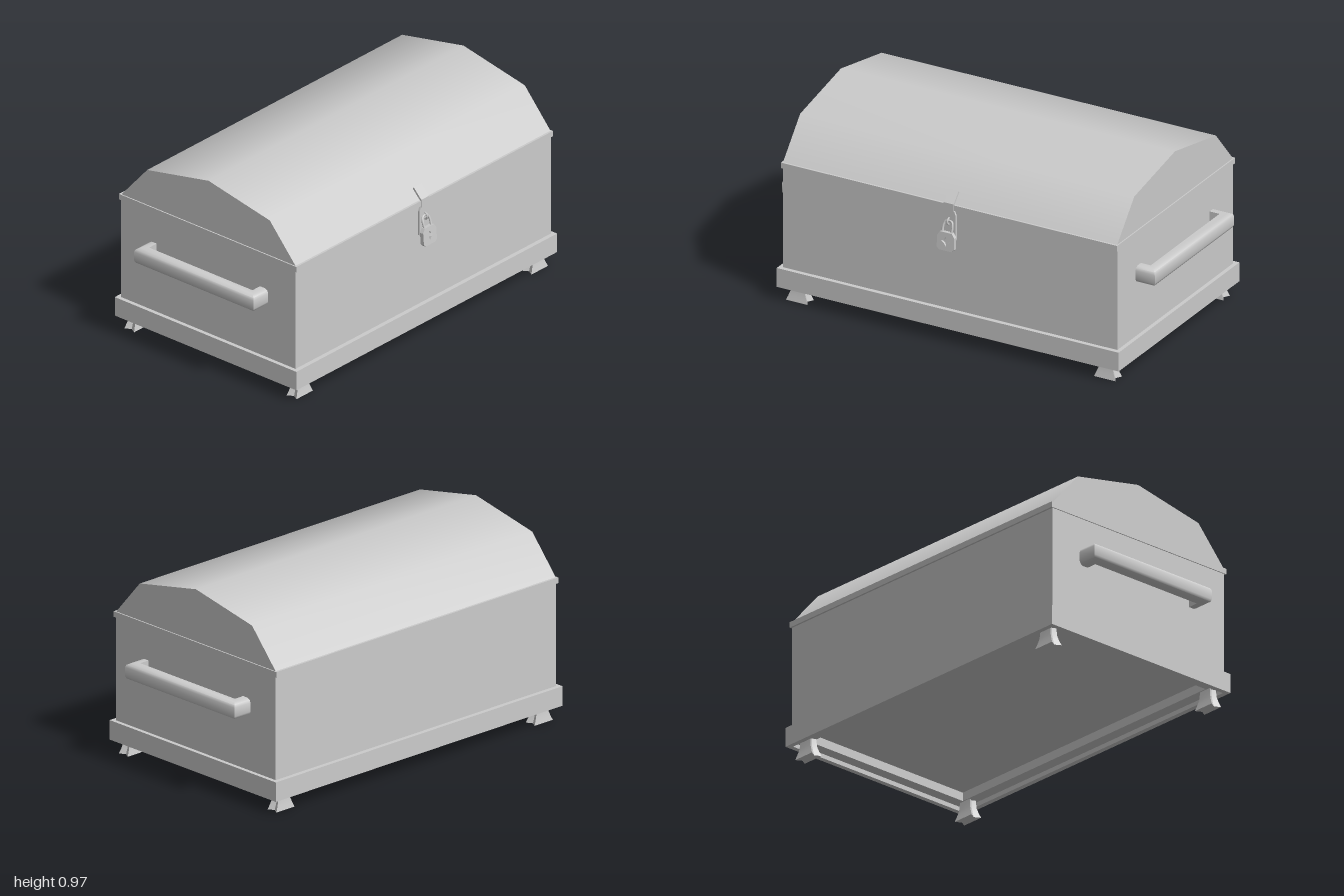
import * as THREE from 'three';
import { toCreasedNormals } from 'three/addons/utils/BufferGeometryUtils.js';

const ZC = -0.012; // middle of the chest body in z

export function createModel() {
  const chest = new THREE.Group();
  chest.name = 'chest';
  const material = new THREE.MeshStandardMaterial({ color: 0xcccccc });

  function add(name, geometry, x = 0, y = 0, z = 0, parent = chest) {
    const mesh = new THREE.Mesh(geometry, material);
    mesh.name = name;
    mesh.position.set(x, y, z);
    parent.add(mesh);
    return mesh;
  }

  // Closed loft through rings of equal point count, capped at both ends
  function loft(rings, crease) {
    const n = rings[0].length;
    const index = [];
    for (let r = 0; r < rings.length - 1; r++) {
      for (let i = 0; i < n; i++) {
        const a = r * n + i, b = r * n + (i + 1) % n;
        index.push(a, b, b + n, a, b + n, a + n);
      }
    }
    const last = (rings.length - 1) * n;
    for (let i = 1; i < n - 1; i++) {
      index.push(0, i + 1, i, last, last + i, last + i + 1);
    }
    const g = new THREE.BufferGeometry();
    g.setAttribute('position', new THREE.Float32BufferAttribute(rings.flat(2), 3));
    g.setIndex(index);
    return toCreasedNormals(g, crease);
  }

  const outlineOf = (points, Type = THREE.Shape) => new Type(points.map(p => new THREE.Vector2(...p)));
  const extrude = (shape, depth) => new THREE.ExtrudeGeometry(shape, { depth, bevelEnabled: false });

  // Upright rectangular frame with a hole
  function frame(hx, hz, wall, height) {
    const rect = (x, z) => [[-x, -z], [x, -z], [x, z], [-x, z]];
    const shape = outlineOf(rect(hx, hz));
    shape.holes.push(outlineOf(rect(hx - wall, hz - wall), THREE.Path));
    return extrude(shape, height).rotateX(-Math.PI / 2);
  }

  // Body, plinth and stepped underside
  add('body', new THREE.BoxGeometry(1.794, 0.55, 1.08), 0, 0.41, ZC);
  add('plinth', frame(0.917, 0.5625, 0.025, 0.097), 0, 0.07, ZC);
  add('bottomRim', frame(0.9, 0.545, 0.065, 0.06), 0, 0.092, ZC);

  // Flared feet, waisted in height and hollowed at both ends
  const footRing = (y, hx, hz) => [[0.7 * hx, y, 0], [hx, y, -hz], [-hx, y, -hz],
    [-0.7 * hx, y, 0], [-hx, y, hz], [hx, y, hz]];
  const foot = loft([
    footRing(0, 0.058, 0.03), footRing(0.025, 0.047, 0.025),
    footRing(0.05, 0.038, 0.021), footRing(0.1, 0.033, 0.018),
  ], 0.8);
  for (const x of [-0.826, 0.826]) {
    for (const z of [0.492, -0.514]) add('foot', foot, x, 0, z);
  }

  // Lid: lip and faceted vault, with close end rings to keep the soft shading even
  add('lidLip', new THREE.BoxGeometry(1.804, 0.028, 1.1), 0, 0.694, ZC);
  const vault = [[0.546, 0.7], [0.38, 0.891], [0, 0.967], [-0.38, 0.891], [-0.546, 0.7]];
  add('lid', loft([-0.896, -0.892, 0.892, 0.896].map(x => vault.map(([z, y]) => [x, y, -z])), 0.8), 0, 0, ZC);

  // Side handles: rounded section swept round a square U
  const section = [[-0.05, 0.042], [-0.02, 0.042], [-0.005, 0.034], [0, 0.022],
    [0, -0.022], [-0.005, -0.034], [-0.02, -0.042], [-0.05, -0.042]];
  const path = [
    o => [0.88, 0.37 + o], o => [1 + o, 0.37 + o],
    o => [1 + o, -0.37 - o], o => [0.88, -0.37 - o],
  ];
  const handle = loft(path.map(at => section.map(([o, y]) => {
    const [x, z] = at(o);
    return [x, y, z];
  })), 1.05);
  add('leftHandle', handle, 0, 0.483, ZC);
  add('rightHandle', handle, 0, 0.483, ZC).rotation.y = Math.PI;

  // Hasp: strap on the lid slope, tab over the lip, hanging plate
  const lock = new THREE.Group();
  lock.name = 'lock';
  chest.add(lock);
  add('haspStrap', new THREE.BoxGeometry(0.052, 0.07, 0.01), 0, 0.734, 0.514, lock).rotation.x = -0.76;
  add('haspTab', new THREE.BoxGeometry(0.052, 0.04, 0.01), 0, 0.695, 0.537, lock);
  const plate = outlineOf([[-0.026, 0.68], [-0.036, 0.655], [-0.036, 0.53], [0.036, 0.53],
    [0.036, 0.655], [0.026, 0.68]]);
  add('haspPlate', extrude(plate, 0.012), 0, 0, 0.526, lock);
  const staple = add('staple', new THREE.TorusGeometry(0.016, 0.005, 6, 16), 0, 0.622, 0.538, lock);
  staple.rotation.y = Math.PI / 2;

  // Padlock, hanging slightly tilted
  const padlock = new THREE.Group();
  padlock.name = 'padlock';
  padlock.position.set(0, 0.528, 0.561);
  padlock.rotation.x = -0.08;
  lock.add(padlock);
  const front = outlineOf([[-0.034, -0.045], [0.034, -0.045], [0.046, -0.033], [0.046, 0.025],
    [0.032, 0.046], [-0.032, 0.046], [-0.046, 0.025], [-0.046, -0.033]]);
  const keyhole = [];
  for (let i = 0; i < 8; i++) {
    const a = i * Math.PI / 4, r = i % 2 ? 0.012 : 0.023;
    keyhole.push([r * Math.cos(a), r * Math.sin(a)]);
  }
  front.holes.push(outlineOf(keyhole, THREE.Path));
  add('padlockBody', extrude(front, 0.02), 0, 0, -0.01, padlock);
  add('padlockBack', new THREE.BoxGeometry(0.06, 0.06, 0.006), 0, 0, -0.005, padlock);
  const bow = new THREE.CatmullRomCurve3([[-0.024, 0.04, 0], [-0.024, 0.075, -0.008], [-0.015, 0.095, -0.014],
    [0.015, 0.095, -0.014], [0.024, 0.075, -0.008], [0.024, 0.04, 0]].map(p => new THREE.Vector3(...p)));
  add('shackle', new THREE.TubeGeometry(bow, 20, 0.006, 6), 0, 0, 0, padlock);

  return chest;
}
